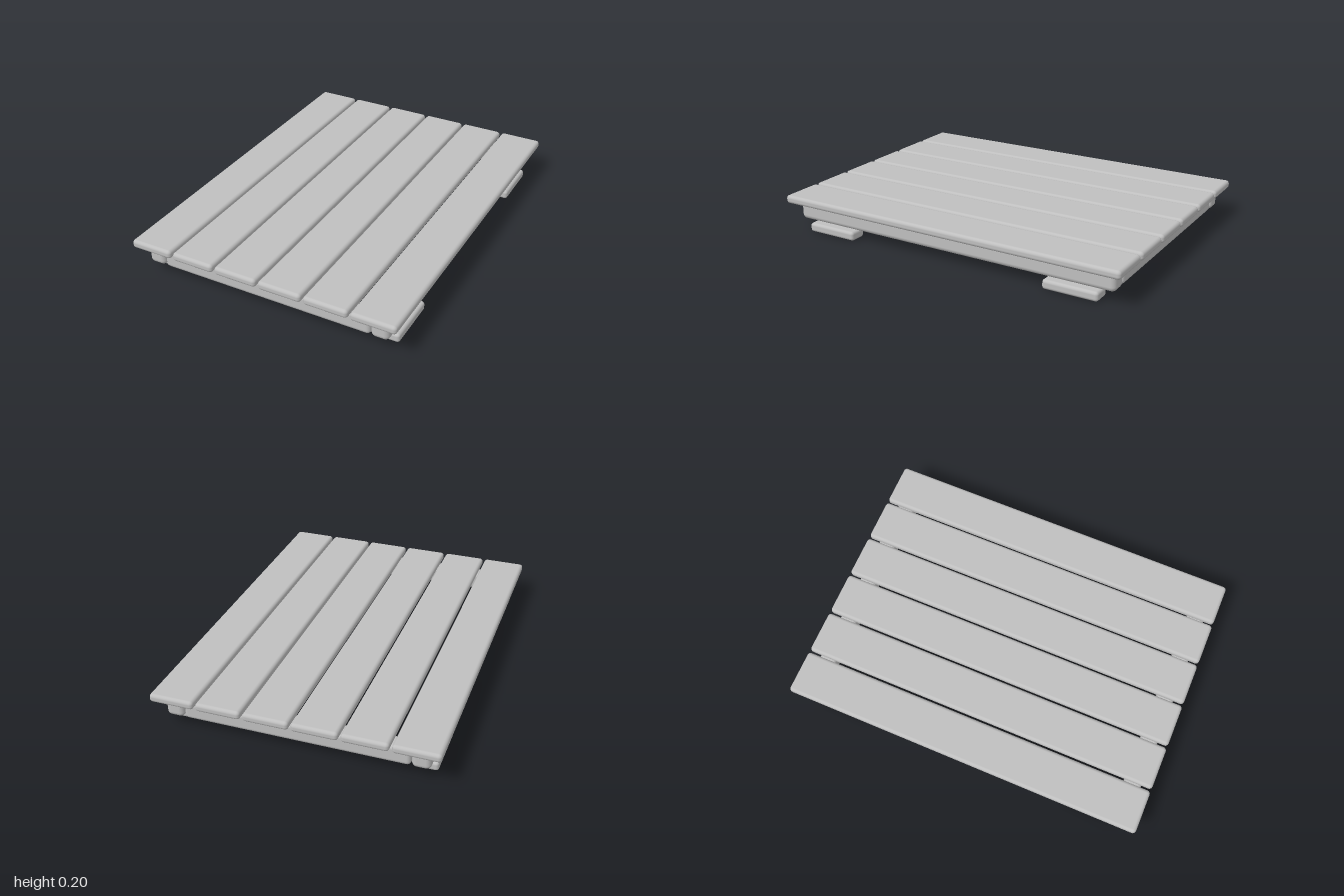
import * as THREE from 'three';
import { RoundedBoxGeometry } from 'three/addons/geometries/RoundedBoxGeometry.js';

export function createModel() {
  const group = new THREE.Group();
  group.name = 'slattedPlatform';
  const wood = new THREE.MeshStandardMaterial({ color: 0xbfbfbf });
  wood.name = 'plain grey wood';

  // Softly worn timber, given by its size and centre
  function timber(name, size, centre, radius) {
    const mesh = new THREE.Mesh(new RoundedBoxGeometry(...size, 3, radius), wood);
    mesh.name = name;
    mesh.position.set(...centre);
    group.add(mesh);
    return mesh;
  }

  // Six deck planks running front to back
  for (let i = 0; i < 6; i++) {
    timber('deckPlank' + (i + 1), [0.238, 0.046, 2], [(i - 2.5) * 0.251, 0.177, 0], 0.018);
  }

  for (const s of [1, -1]) {
    const side = s > 0 ? 'left' : 'right';
    // Frame: long side rails with cross rails between them
    timber(side + 'SideRail', [0.096, 0.098, 1.9], [s * 0.638, 0.105, 0], 0.026);
    timber(s > 0 ? 'frontCrossRail' : 'backCrossRail', [1.176, 0.098, 0.096], [0, 0.105, s * 0.898], 0.022);

    // Feet near the corners, slightly outside the rails
    for (const e of [1, -1]) {
      timber(side + (e > 0 ? 'Front' : 'Back') + 'Foot', [0.096, 0.05, 0.298], [s * 0.658, 0.025, e * 0.725], 0.016);
    }
  }
  return group;
}
